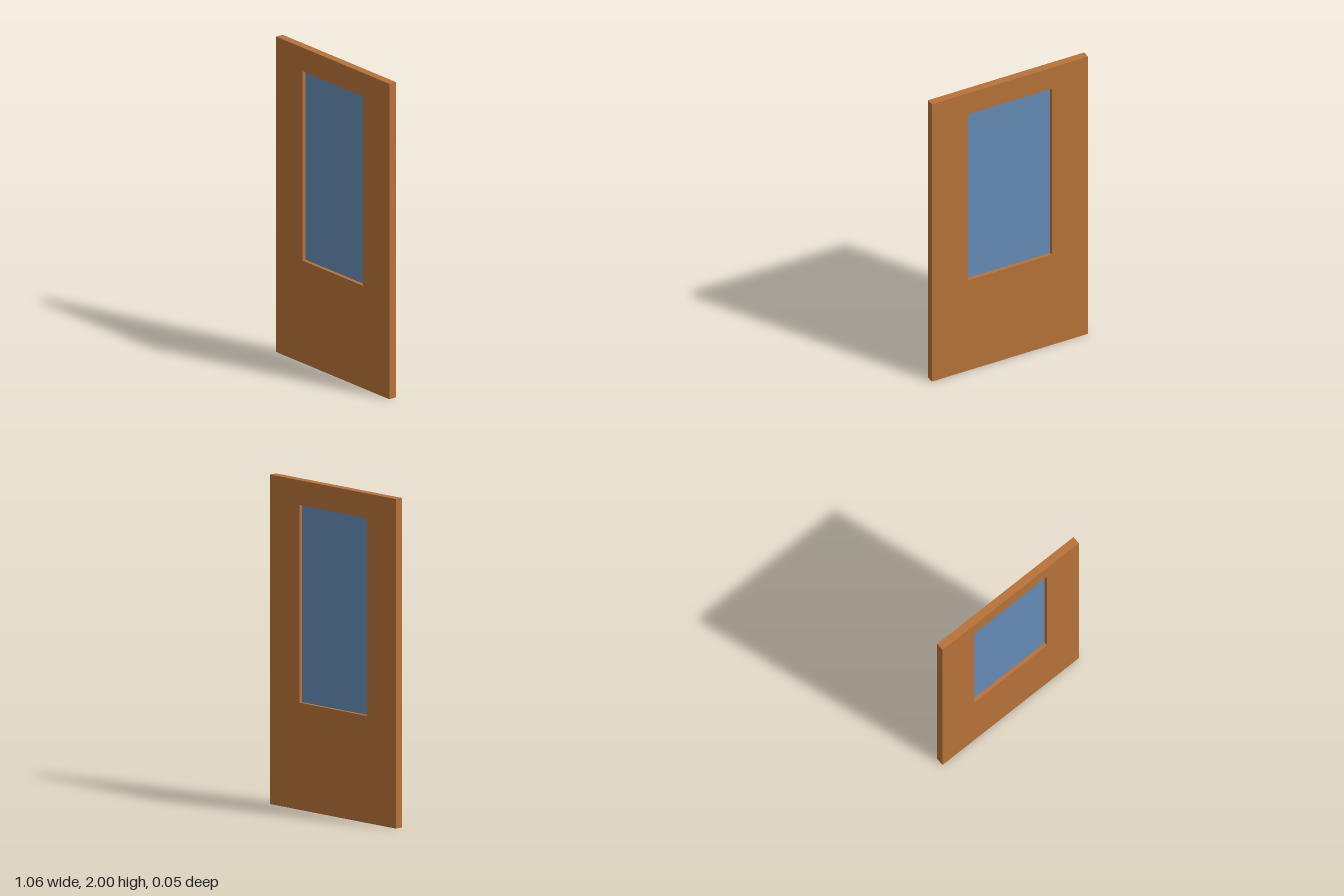
import * as THREE from 'three';

const WIDTH = 1.056, HEIGHT = 2, DEPTH = 0.05;
const PANE = { width: 0.566, bottom: 0.65, top: 1.85, depth: 0.004 };

// Closed rectangle outline, centred on x
function trace(path, width, bottom, top) {
  const h = width / 2;
  path.moveTo(-h, bottom);
  path.lineTo(h, bottom);
  path.lineTo(h, top);
  path.lineTo(-h, top);
  path.closePath();
  return path;
}

export function createModel() {
  const door = new THREE.Group();
  door.name = 'door';

  // Wooden leaf with a window opening
  const outline = trace(new THREE.Shape(), WIDTH, 0, HEIGHT);
  outline.holes.push(trace(new THREE.Path(), PANE.width, PANE.bottom, PANE.top));
  const leafGeometry = new THREE.ExtrudeGeometry(outline, { depth: DEPTH, bevelEnabled: false });
  leafGeometry.translate(0, 0, -DEPTH / 2);
  const leaf = new THREE.Mesh(leafGeometry, new THREE.MeshStandardMaterial({ color: 0xb87338 }));
  leaf.name = 'doorLeaf';

  // Thin glass set in the middle of the opening
  const pane = new THREE.Mesh(
    new THREE.BoxGeometry(PANE.width, PANE.top - PANE.bottom, PANE.depth),
    new THREE.MeshStandardMaterial({ color: 0x668cb8 })
  );
  pane.name = 'windowPane';
  pane.position.y = (PANE.bottom + PANE.top) / 2;

  door.add(leaf, pane);
  return door;
}
